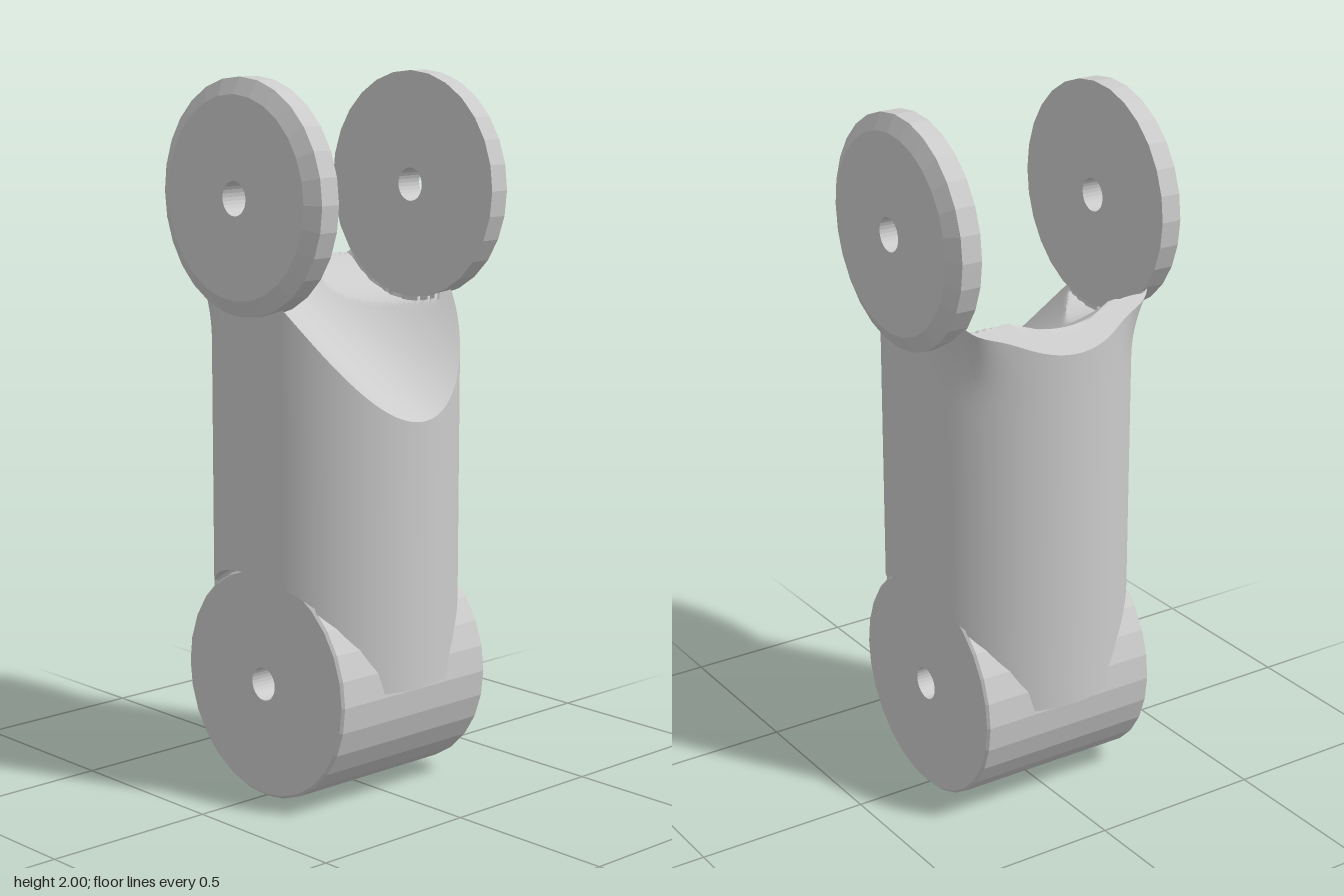
import * as THREE from 'three';
import { toCreasedNormals } from 'three/addons/utils/BufferGeometryUtils.js';

const R = 0.345;          // body radius
const LOW = 0.325;        // height of the lower pivot
const HIGH = 1.68;        // height of the upper pivot
const HOLE = 0.047;

const smooth = new THREE.MeshStandardMaterial({ color: 0xcccccc });
const faceted = new THREE.MeshStandardMaterial({ color: 0xcccccc, flatShading: true });

// Half height of a circle of radius r at offset z
const arc = (r, z) => Math.sqrt(Math.max(0, r * r - z * z));

// Underside: saddle that sits on the barrel, sunk into it except at the ends
function bottomY(x, z) {
  return Math.max(0.335, LOW + arc(Math.abs(x) < 0.265 ? 0.31 : 0.332, z));
}

// Top: sloping scoop, round clearance under the upper pivot, chamfered back
function topY(x, z) {
  const scoop = 1.275 - 0.567 * z + 1.9 * x * x;
  const clearance = HIGH - arc(Math.abs(x) < 0.292 ? 0.33 : 0.3, z);
  return Math.min(scoop, clearance, 1.725 + z);
}

// Radius of the top rim: widens at the two back corners to meet the cheeks
function rimRadius(t) {
  const fromBack = Math.PI - Math.abs(t);
  return R + 0.04 * Math.exp(-(((fromBack - 0.87) / 0.22) ** 2));
}

// Solid of revolution whose rows are moved to the underside, wall and top
function bodyGeometry() {
  const around = 144, cap = 40, wall = 24;
  const rows = 2 * cap + wall + 1;
  const profile = Array.from({ length: rows }, (_, j) => new THREE.Vector2(1, j));
  const geo = new THREE.LatheGeometry(profile, around);
  const pos = geo.attributes.position;
  for (let i = 0; i <= around; i++) {
    const t = ((i % around) / around) * 2 * Math.PI;
    const s = Math.sin(t), c = Math.cos(t);
    const rim = rimRadius(t > Math.PI ? t - 2 * Math.PI : t);
    const y0 = bottomY(R * s, R * c), y1 = topY(rim * s, rim * c);
    for (let j = 0; j < rows; j++) {
      let r, y;
      if (j < cap) {
        r = R * Math.max(j / cap, 0.001);
        y = bottomY(r * s, r * c);
      } else if (j <= cap + wall) {
        const v = (j - cap) / wall;
        y = y0 + (y1 - y0) * (1 - (1 - v) ** 1.6);
        const flare = Math.max(0, (y - 1.27) / Math.max(0.01, y1 - 1.27));
        r = R + (rim - R) * flare * flare;
      } else {
        r = rim * Math.max((rows - 1 - j) / cap, 0.001);
        y = topY(r * s, r * c);
      }
      pos.setXYZ(i * rows + j, r * s, y, r * c);
    }
  }
  geo.deleteAttribute('normal');
  geo.deleteAttribute('uv');
  return toCreasedNormals(geo, 0.55);
}

// Pierced disc along x from a list of [radius, offset] outline points
function disc(name, outline, y, side) {
  const first = outline[0][1], last = outline[outline.length - 1][1];
  const points = [[HOLE, first], ...outline, [HOLE, last], [HOLE, first]]
    .map(([r, h]) => new THREE.Vector2(r, h));
  const geo = new THREE.LatheGeometry(points, 28);
  geo.rotateZ(-side * Math.PI / 2);
  const mesh = new THREE.Mesh(geo, faceted);
  mesh.name = name;
  mesh.position.y = y;
  return mesh;
}

export function createModel() {
  const group = new THREE.Group();
  group.name = 'jointLink';

  const body = new THREE.Mesh(bodyGeometry(), smooth);
  body.name = 'body';
  group.add(body);

  // Lower pivot barrel with slightly eased edges
  const barrel = [[0.318, -0.275], [0.325, -0.268], [0.325, 0.268], [0.318, 0.275]];
  group.add(disc('lowerBarrel', barrel, LOW, 1));

  // Upper pivot cheeks, chamfered on the outside
  const cheek = [[0.32, 0.286], [0.32, 0.345], [0.275, 0.369]];
  group.add(disc('leftCheek', cheek, HIGH, 1));
  group.add(disc('rightCheek', cheek, HIGH, -1));

  return group;
}
